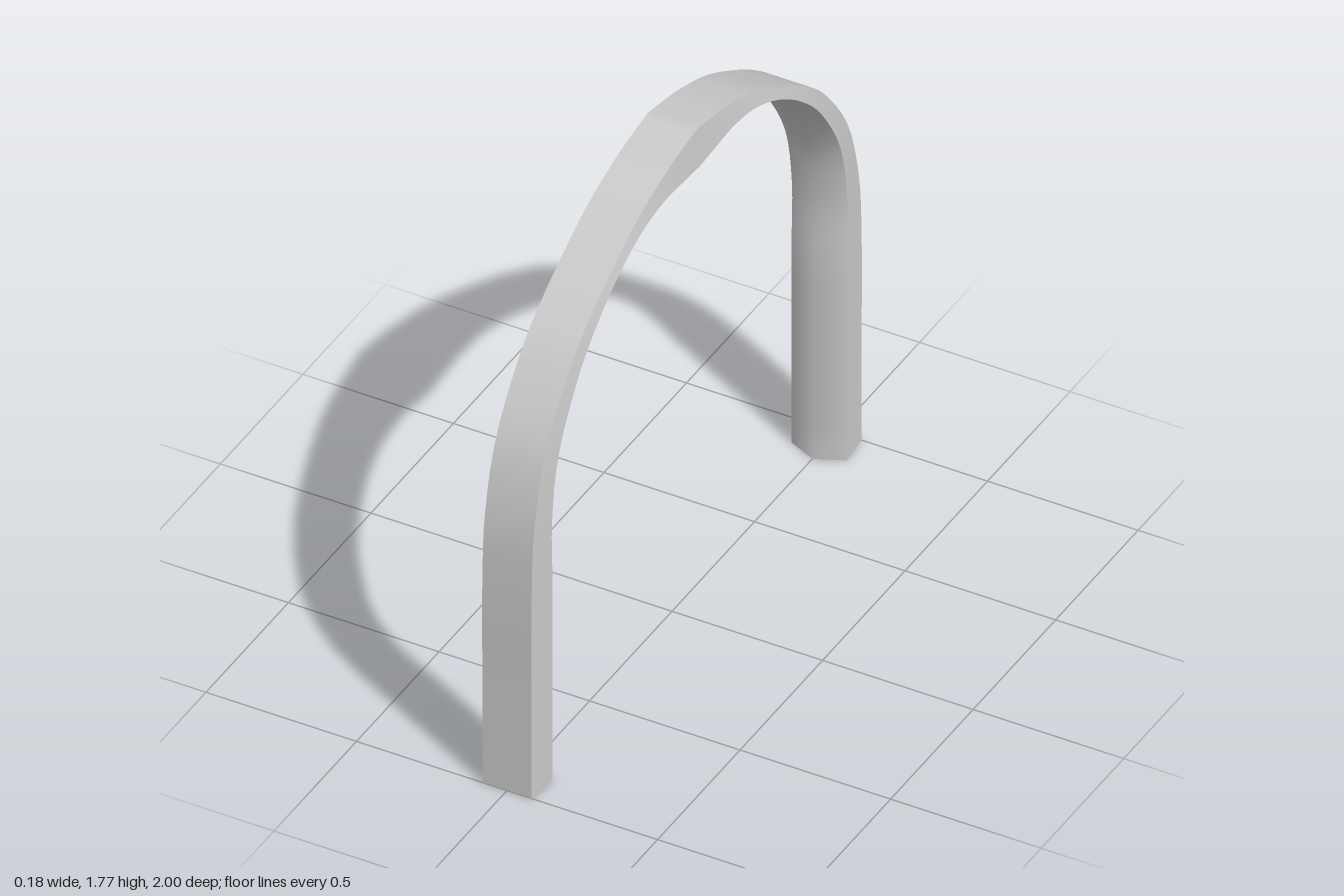
import * as THREE from 'three';
import { toCreasedNormals } from 'three/addons/utils/BufferGeometryUtils.js';

// Matching stations from foot to crown, as [z, y], for one half of the arch
const OUTER = [[1, 0], [1, 0.4], [1, 0.73], [0.983, 0.97], [0.915, 1.2], [0.775, 1.4],
  [0.65, 1.51], [0.51, 1.6], [0.35, 1.685], [0.19, 1.738], [0.09, 1.76], [0, 1.775]];
const INNER = [[0.85, 0], [0.85, 0.4], [0.85, 0.7], [0.86, 0.93], [0.83, 1.14], [0.725, 1.335],
  [0.6, 1.47], [0.46, 1.57], [0.325, 1.62], [0.21, 1.626], [0.1, 1.61], [0, 1.595]];

// Cross-section: [half-width x, fraction from outer face to inner ridge]
const SECTION = [[-0.082, 0], [0.082, 0], [0.092, 0.72], [0, 1], [-0.092, 0.72]];
const HALF_STEPS = 44;

const curve = (pts) =>
  new THREE.CatmullRomCurve3(pts.map(([z, y]) => new THREE.Vector3(0, y, z)), false, 'catmullrom', 0.5);

// Loft the five-sided section along the whole arch and cap both feet
function archGeometry() {
  const outer = curve(OUTER), inner = curve(INNER);
  const positions = [], index = [], n = SECTION.length, rings = HALF_STEPS * 2 + 1;

  for (let i = 0; i < rings; i++) {
    const side = i <= HALF_STEPS ? 1 : -1;
    const t = 1 - Math.abs(i - HALF_STEPS) / HALF_STEPS;
    const a = outer.getPoint(t), b = inner.getPoint(t);
    for (const [x, f] of SECTION) {
      const p = a.clone().lerp(b, f);
      positions.push(x, p.y, p.z * side);
    }
  }
  for (let i = 0; i < rings - 1; i++) {
    for (let j = 0; j < n; j++) {
      const a = i * n + j, b = i * n + (j + 1) % n;
      index.push(a, b, b + n, a, b + n, a + n);
    }
  }
  const last = (rings - 1) * n;
  for (let j = 1; j < n - 1; j++) {
    index.push(0, j + 1, j);
    index.push(last, last + j, last + j + 1);
  }

  const geometry = new THREE.BufferGeometry();
  geometry.setAttribute('position', new THREE.Float32BufferAttribute(positions, 3));
  geometry.setIndex(index);
  // Soft inner ridge, sharp outer and side edges
  return toCreasedNormals(geometry, 1.1);
}

export function createModel() {
  const model = new THREE.Group();
  model.name = 'archedBand';
  const band = new THREE.Mesh(archGeometry(), new THREE.MeshStandardMaterial({ color: 0xcccccc }));
  band.name = 'band';
  model.add(band);
  return model;
}
